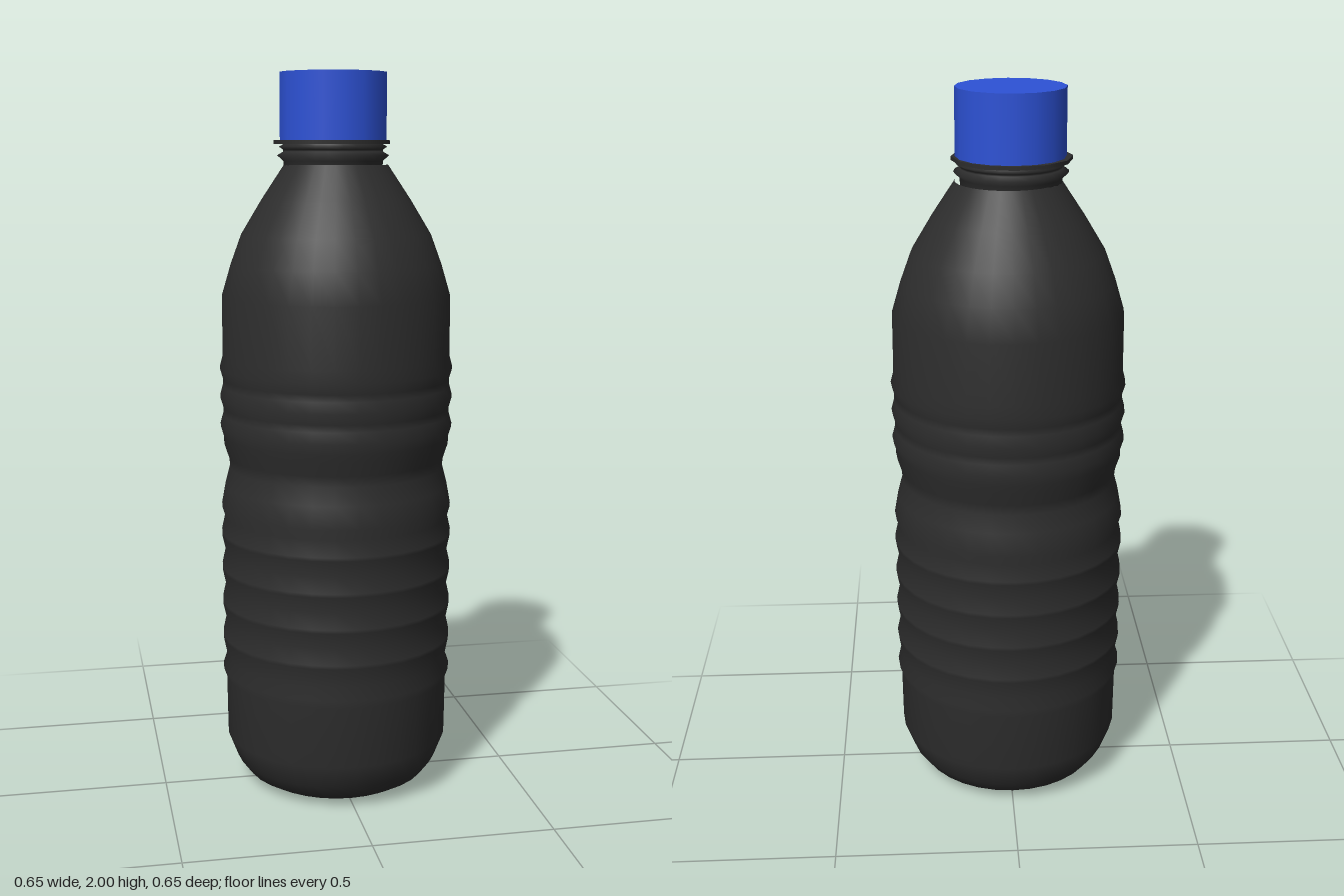
import * as THREE from 'three';

const bodyMat = new THREE.MeshStandardMaterial({ color: 0x2d2d2d });
bodyMat.name = 'dark plastic';
const capMat = new THREE.MeshStandardMaterial({ color: 0x2d52d6 });
capMat.name = 'blue plastic';

// Revolve [radius, height] points, listed from bottom to top
function lathe(name, points, sides, material, x = 0, z = 0) {
  const profile = points.map(([r, y]) => new THREE.Vector2(r, y));
  const mesh = new THREE.Mesh(new THREE.LatheGeometry(profile, sides), material);
  mesh.name = name;
  mesh.position.set(x, 0, z);
  return mesh;
}

export function createModel() {
  const group = new THREE.Group();
  group.name = 'bottle';

  // Rounded base, plain lower wall
  const profile = [
    [0, 0.025], [0.1, 0.015], [0.17, 0], [0.22, 0.008], [0.258, 0.03],
    [0.288, 0.07], [0.315, 0.14], [0.317, 0.31], [0.326, 0.335], [0.314, 0.37],
  ];
  // Lower grip ribs
  for (const y of [0.43, 0.53, 0.63, 0.73]) {
    profile.push([0.325, y - 0.005], [0.325, y + 0.005], [0.315, y + 0.05]);
  }
  // Waist
  profile.push([0.324, 0.81], [0.313, 0.87], [0.3, 0.92], [0.303, 0.95], [0.316, 0.99]);
  // Upper ribs
  for (const y of [1.04, 1.12, 1.2]) {
    profile.push([0.316, y - 0.03], [0.325, y], [0.317, y + 0.03]);
  }
  // Shoulder
  profile.push([0.316, 1.4], [0.291, 1.485], [0.261, 1.567], [0.205, 1.66], [0.142, 1.755]);
  group.add(lathe('body', profile, 32, bodyMat));

  // Neck with two thin thread rings
  group.add(lathe('neck', [
    [0.135, 1.73], [0.136, 1.765], [0.153, 1.78], [0.136, 1.79],
    [0.136, 1.795], [0.148, 1.803], [0.135, 1.81], [0.135, 1.83],
  ], 24, bodyMat, -0.008, -0.002));

  // Flat collar under the cap
  const collar = new THREE.Mesh(new THREE.CylinderGeometry(0.161, 0.161, 0.01, 12), bodyMat);
  collar.name = 'collar';
  collar.position.set(-0.01, 1.815, -0.002);
  group.add(collar);

  // Screw cap
  const cap = new THREE.Mesh(new THREE.CylinderGeometry(0.147, 0.147, 0.18, 16), capMat);
  cap.name = 'cap';
  cap.position.set(-0.007, 1.91, -0.003);
  group.add(cap);

  return group;
}
